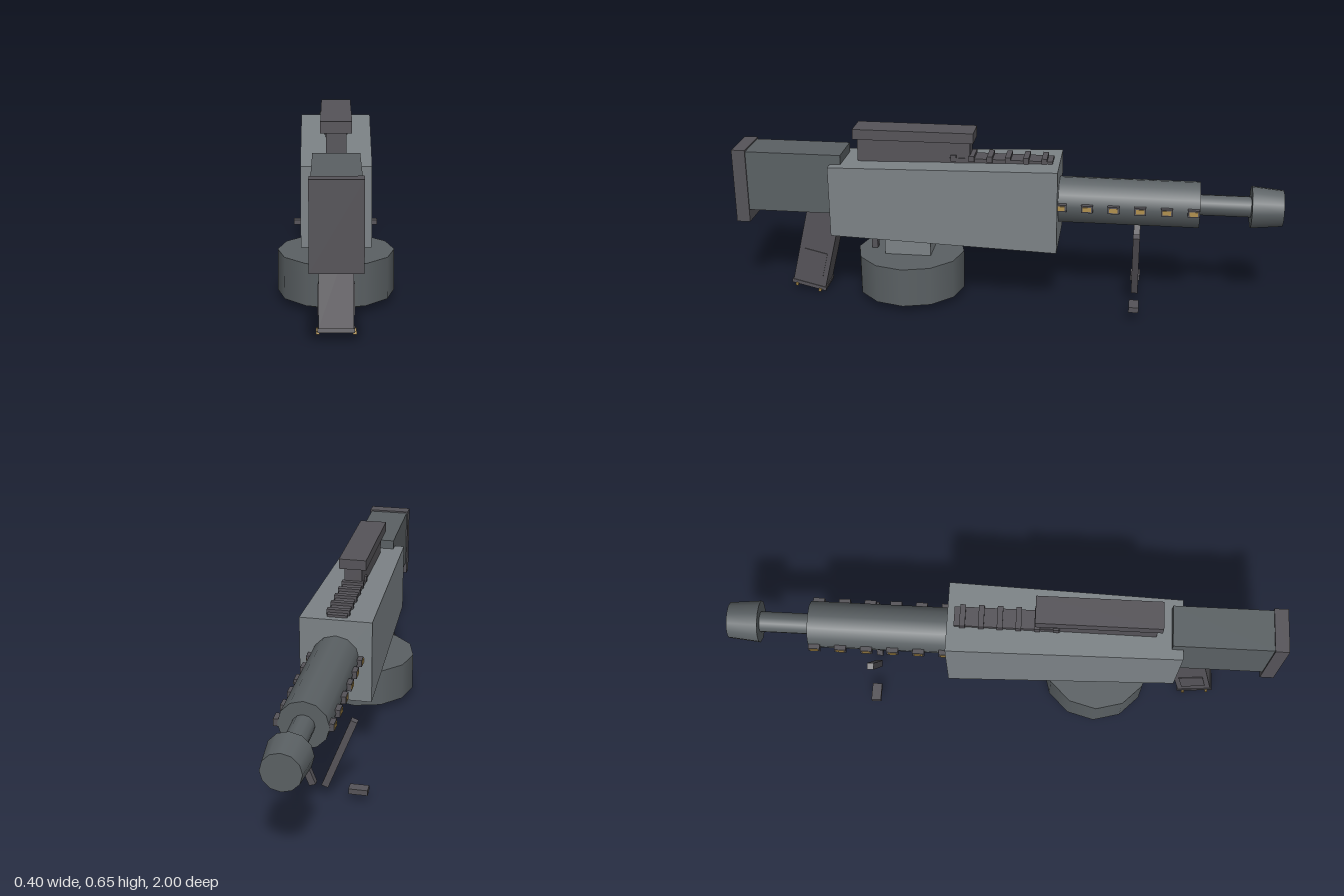
import * as THREE from 'three';

const mat = (color) => new THREE.MeshStandardMaterial({ color });

export function createModel() {
  const model = new THREE.Group();
  const alloy = mat(0x7c8286), steel = mat(0x5a6063), polymer = mat(0x555358), brass = mat(0xb0904e);

  const add = (name, geometry, material, x, y, z, parent = model) => {
    const mesh = new THREE.Mesh(geometry, material);
    mesh.name = name;
    mesh.position.set(x, y, z);
    parent.add(mesh);
    return mesh;
  };
  // Box given by its half width in x and its y and z ranges
  const block = (name, material, hx, y0, y1, z0, z1, x = 0) =>
    add(name, new THREE.BoxGeometry(hx * 2, y1 - y0, z1 - z0), material, x, (y0 + y1) / 2, (z0 + z1) / 2);
  // Cylinder along z, from z0 (radius r0) to z1 (radius r1)
  const tubeZ = (name, material, r0, r1, z0, z1) =>
    add(name, new THREE.CylinderGeometry(r1, r0, z1 - z0, 12).rotateX(Math.PI / 2), material, 0, 0.403, (z0 + z1) / 2);
  // Upright cylinder of the drum
  const discY = (name, material, r, y0, y1) =>
    add(name, new THREE.CylinderGeometry(r, r, y1 - y0, 12), material, 0, (y0 + y1) / 2, 0.356);

  // Receiver: a box that narrows towards the stock
  const body = new THREE.BoxGeometry(0.26, 0.308, 0.835);
  const p = body.attributes.position;
  for (let i = 0; i < p.count; i++) {
    if (p.getZ(i) > 0) p.setXY(i, p.getX(i) * 0.87, p.getY(i) * 0.86);
  }
  body.computeVertexNormals();
  add('receiver', body, alloy, 0, 0.394, 0.2175);

  // Stock and butt plate
  block('stock', steel, 0.076, 0.335, 0.562, 0.595, 0.955);
  block('buttPlate', polymer, 0.081, 0.288, 0.568, 0.95, 1);

  // Barrel
  tubeZ('barrelShroud', steel, 0.085, 0.085, -0.705, -0.19);
  tubeZ('barrel', steel, 0.038, 0.038, -0.9, -0.69);
  tubeZ('muzzleBrake', steel, 0.066, 0.077, -1, -0.887);

  // Vents along both sides of the shroud
  for (const side of [-1, 1]) {
    for (let i = 0; i < 6; i++) {
      const z = -0.21 - i * 0.0945;
      block('ventFrame', polymer, 0.009, 0.39, 0.416, z - 0.021, z + 0.021, side * 0.09);
      block('ventInsert', brass, 0.007, 0.395, 0.411, z - 0.015, z + 0.015, side * 0.094);
    }
  }

  // Top rail with cross ridges
  block('rail', polymer, 0.036, 0.53, 0.556, -0.175, 0.2);
  for (let i = 0; i < 6; i++) {
    const z = -0.145 + i * 0.066;
    block('railRidge', polymer, 0.041, 0.545, 0.567, z - 0.01, z + 0.01);
  }

  // Sight block
  block('sightBase', polymer, 0.033, 0.53, 0.62, 0.125, 0.54);
  block('sightCover', polymer, 0.051, 0.617, 0.655, 0.11, 0.552);

  // Drum magazine
  block('magazineNeck', alloy, 0.06, 0.165, 0.27, 0.273, 0.445);
  discY('drum', steel, 0.2, 0.03, 0.176);
  discY('drumBase', steel, 0.157, 0.013, 0.032);
  discY('drumCap', brass, 0.06, 0.008, 0.015);

  // Trigger
  block('trigger', polymer, 0.014, 0.178, 0.265, 0.483, 0.505);
  block('triggerMount', polymer, 0.02, 0.247, 0.268, 0.485, 0.56);

  // Raked pistol grip
  const grip = new THREE.Group();
  grip.name = 'grip';
  grip.position.set(0, 0.18, 0.71);
  grip.rotation.x = -0.235;
  model.add(grip);
  add('gripBody', new THREE.BoxGeometry(0.11, 0.32, 0.126), polymer, 0, 0.012, 0, grip);
  add('gripPlate', new THREE.BoxGeometry(0.116, 0.014, 0.134), polymer, 0, -0.155, 0, grip);
  for (const side of [-1, 1]) {
    add('gripPanel', new THREE.BoxGeometry(0.006, 0.1, 0.09), polymer, side * 0.055, -0.06, 0, grip);
    for (const z of [-0.045, 0.045]) {
      add('gripPin', new THREE.BoxGeometry(0.012, 0.01, 0.01), brass, side * 0.058, -0.163, z, grip);
    }
  }

  // Bipod: legs leaning inwards, feet further out
  for (const side of [-1, 1]) {
    const leg = add('bipodLeg', new THREE.BoxGeometry(0.024, 0.28, 0.024), polymer, side * 0.072, 0.187, -0.485);
    leg.rotation.z = -side * 0.37;
    block('bipodFoot', polymer, 0.033, 0.04, 0.06, -0.503, -0.467, side * 0.138);
  }
  return model;
}
